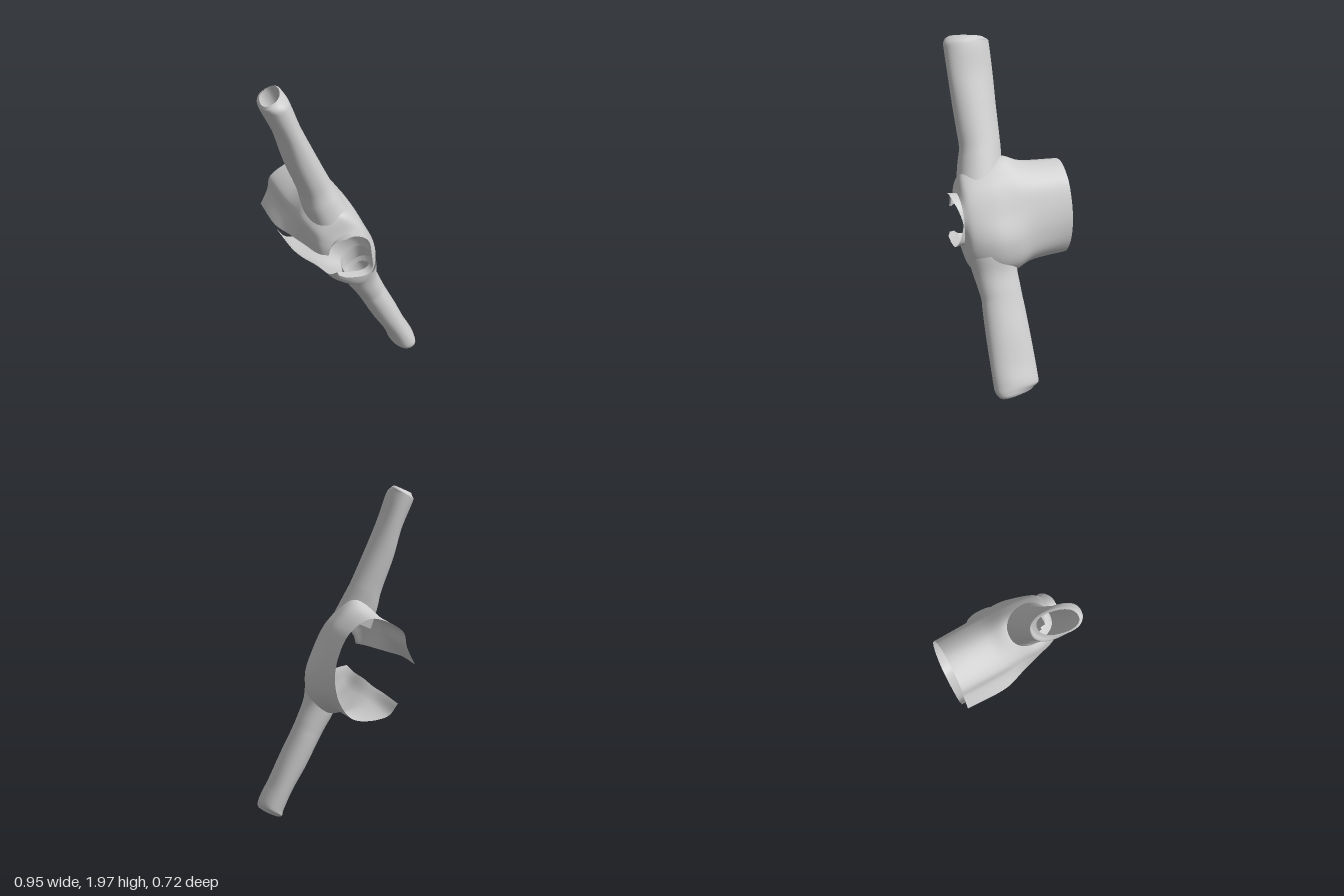
import * as THREE from 'three';

const material = new THREE.MeshStandardMaterial({ color: 0xcccccc, side: THREE.DoubleSide });
const V = (x, y, z) => new THREE.Vector3(x, y, z);
const smooth = (pts, n) => new THREE.CatmullRomCurve3(pts, false, 'centripetal').getPoints(n);

// Skins a list of equally long point rows; skip(centre) leaves a quad out
function loft(name, rows, closed, skip = () => false) {
  const n = rows[0].length, index = [];
  for (let i = 0; i < rows.length - 1; i++) {
    for (let j = 0; j < (closed ? n : n - 1); j++) {
      const k = (j + 1) % n;
      const centre = rows[i][j].clone().add(rows[i + 1][k]).multiplyScalar(0.5);
      if (skip(centre)) continue;
      const a = i * n + j, b = i * n + k, c = a + n, d = b + n;
      index.push(a, c, b, b, c, d);
    }
  }
  const geometry = new THREE.BufferGeometry().setFromPoints(rows.flat());
  geometry.setIndex(index);
  geometry.computeVertexNormals();
  const mesh = new THREE.Mesh(geometry, material);
  mesh.name = name;
  return mesh;
}

// Body sections from hem to neck, each running from one front edge round the back to the other
const sections = [
  [-0.355, [[-.345, .99], [-.3, 1.085], [-.275, 1.175], [-.1, 1.25], [.02, 1.18], [.085, 1.06], [.11, .92], [.08, .78], [0, .69], [-.19, .70], [-.25, .77]]],
  [-0.1, [[-.34, 1], [-.292, 1.09], [-.27, 1.18], [-.1, 1.275], [.03, 1.19], [.1, 1.06], [.145, .9], [.13, .77], [.03, .685], [-.17, .725], [-.235, .785]]],
  [0.02, [[-.30, 1.005], [-.28, 1.1], [-.255, 1.19], [-.1, 1.32], [.025, 1.21], [.115, 1.04], [.177, .88], [.162, .74], [.055, .652], [-.14, .74], [-.21, .80]]],
  [0.14, [[-.26, 1.01], [-.268, 1.1], [-.258, 1.19], [-.1, 1.3], [.025, 1.2], [.115, 1.04], [.18, .88], [.162, .74], [.065, .668], [-.11, .75], [-.18, .83]]],
  [0.27, [[-.215, 1.015], [-.22, 1.09], [-.205, 1.16], [-.09, 1.245], [.015, 1.17], [.09, 1.04], [.13, .9], [.115, .785], [.05, .715], [-.09, .785], [-.15, .85]]],
  [0.31, [[-.175, 1.02], [-.16, 1.07], [-.125, 1.115], [-.045, 1.143], [.03, 1.1], [.07, 1.03], [.08, .95], [.075, .888], [.04, .86], [-.06, .868], [-.12, .885]]],
];

// Oval sleeve from shoulder to cuff; path holds x, y and half width at each station
const across = V(0.92, 0.39, 0), axis = V(-0.39, 0.92, 0);
function sleeve(name, side, path) {
  const rows = smooth(path.map(([x, y, w]) => V(x, y, w)), 40).map((c, i) => {
    const t = i / 40;
    const flare = Math.max(0, 1 - t / 0.35) ** 1.4;
    const cuff = Math.max(0, t - 0.85) / 0.15;
    const depth = 0.122 + 0.014 * Math.sin(Math.max(0, t - 0.35) * 3.5) + 0.018 * flare - 0.016 * cuff ** 2;
    const zc = 0.12 + 0.03 * flare;
    return Array.from({ length: 36 }, (_, j) => {
      const a = j / 36 * Math.PI * 2, cs = Math.cos(a), sn = Math.sin(a);
      // slightly squared oval, twisted at the cuff, which is cut shorter at the back
      const u = Math.sign(cs) * Math.abs(cs) ** 0.88, v = Math.sign(sn) * Math.abs(sn) ** 0.88;
      return V(c.x, c.y, zc + v * depth)
        .addScaledVector(across, u * c.z - side * 0.018 * v * cuff)
        .addScaledVector(axis, -side * 0.015 * (1 - v) * cuff);
    });
  });
  // thin turned-in rim at the cuff
  const end = rows[rows.length - 1];
  const mid = end.reduce((s, p) => s.add(p), V(0, 0, 0)).divideScalar(end.length);
  rows.push(end.map(p => p.clone().lerp(mid, 0.14).addScaledVector(axis, side * 0.011)));
  return loft(name, rows, true);
}

export function createModel() {
  const group = new THREE.Group();
  group.name = 'openJacket';

  // Body, open along one side between its two front edges
  const columns = sections[0][1].map((_, j) =>
    smooth(sections.map(([z, pts]) => V(pts[j][0], pts[j][1], z)), 64));
  const rows = columns[0].map((_, i) => smooth(columns.map(c => c[i]), 140));
  // armholes, covered by the sleeve roots
  const armhole = p => {
    const along = p.dot(axis) - axis.y, off = p.dot(across) - across.y + 0.02;
    return Math.abs(along) > 0.235 && (off / 0.065) ** 2 + ((p.z - 0.14) / 0.1) ** 2 < 1;
  };
  group.add(loft('body', rows, false, armhole));

  // Collar rising from the neck opening, highest at its two sides and dying out at the front edges
  const neck = rows[rows.length - 1];
  const collar = [0, 0.5, 1].map(t => neck.map(p => {
    const fade = THREE.MathUtils.clamp((p.x + 0.16) / 0.07, 0, 1);
    const rise = 0.008 + 0.042 * fade * Math.min(1, Math.abs(p.y - 1) / 0.138) ** 1.4;
    return V(p.x, p.y, p.z + t * rise).addScaledVector(V(p.x + 0.05, p.y - 1, 0), 0.03 * t);
  }));
  group.add(loft('collar', collar, false));

  group.add(sleeve('upperSleeve', 1, [[-.112, 1.18, .117], [-.158, 1.3, .104], [-.185, 1.38, .092], [-.27, 1.59, .082],
    [-.33, 1.76, .069], [-.393, 1.92, .074], [-.412, 1.965, .066]]));
  group.add(sleeve('lowerSleeve', -1, [[.08, .78, .1], [.1, .68, .094], [.15, .58, .085], [.19, .5, .081], [.26, .36, .08],
    [.343, .2, .071], [.398, .085, .074], [.413, .036, .066]]));
  return group;
}
